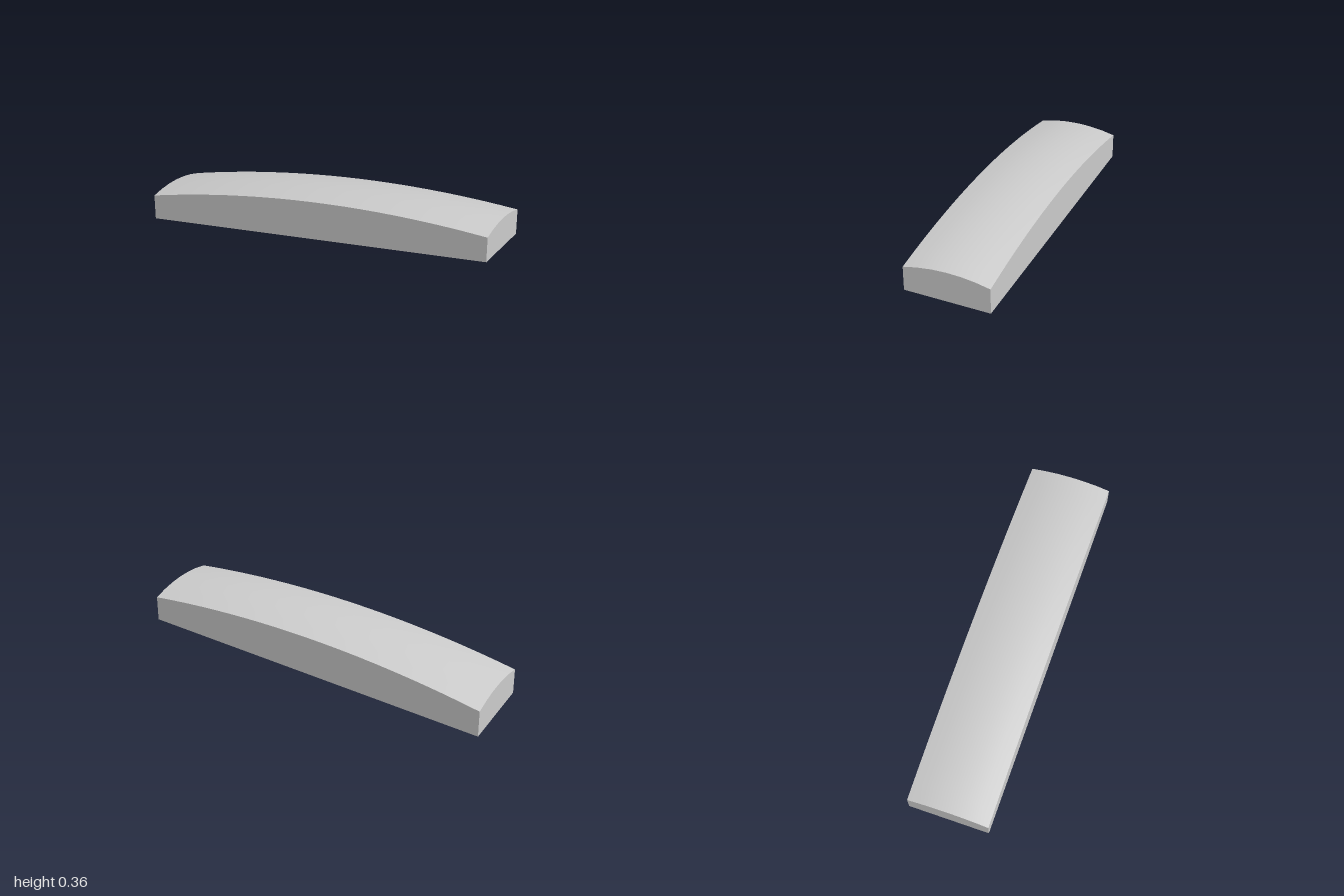
import * as THREE from 'three';

const LENGTH = 2, WIDTH = 0.457;

// Tilted flat underside
const underside = (x, z) => 0.092 + 0.0785 * x + 0.058 * z;

// Crowned top: arched along the length and across the width, on the same tilt
const crown = (x, z) =>
  0.3395 + 0.075 * x - 0.0765 * x * x + 0.0457 * z - 0.577 * z * z;

export function createModel() {
  const group = new THREE.Group();
  group.name = 'archedBlock';

  // Subdivided box whose upper and lower faces follow the two surfaces
  const geometry = new THREE.BoxGeometry(LENGTH, 1, WIDTH, 20, 1, 6);
  const p = geometry.attributes.position;
  for (let i = 0; i < p.count; i++) {
    const surface = p.getY(i) > 0 ? crown : underside;
    p.setY(i, surface(p.getX(i), p.getZ(i)));
  }
  // Box faces share no vertices, so the rim stays sharp and the crown smooth
  geometry.computeVertexNormals();

  const body = new THREE.Mesh(
    geometry,
    new THREE.MeshStandardMaterial({ color: 0xcccccc })
  );
  body.name = 'crownedBody';
  group.add(body);
  return group;
}
